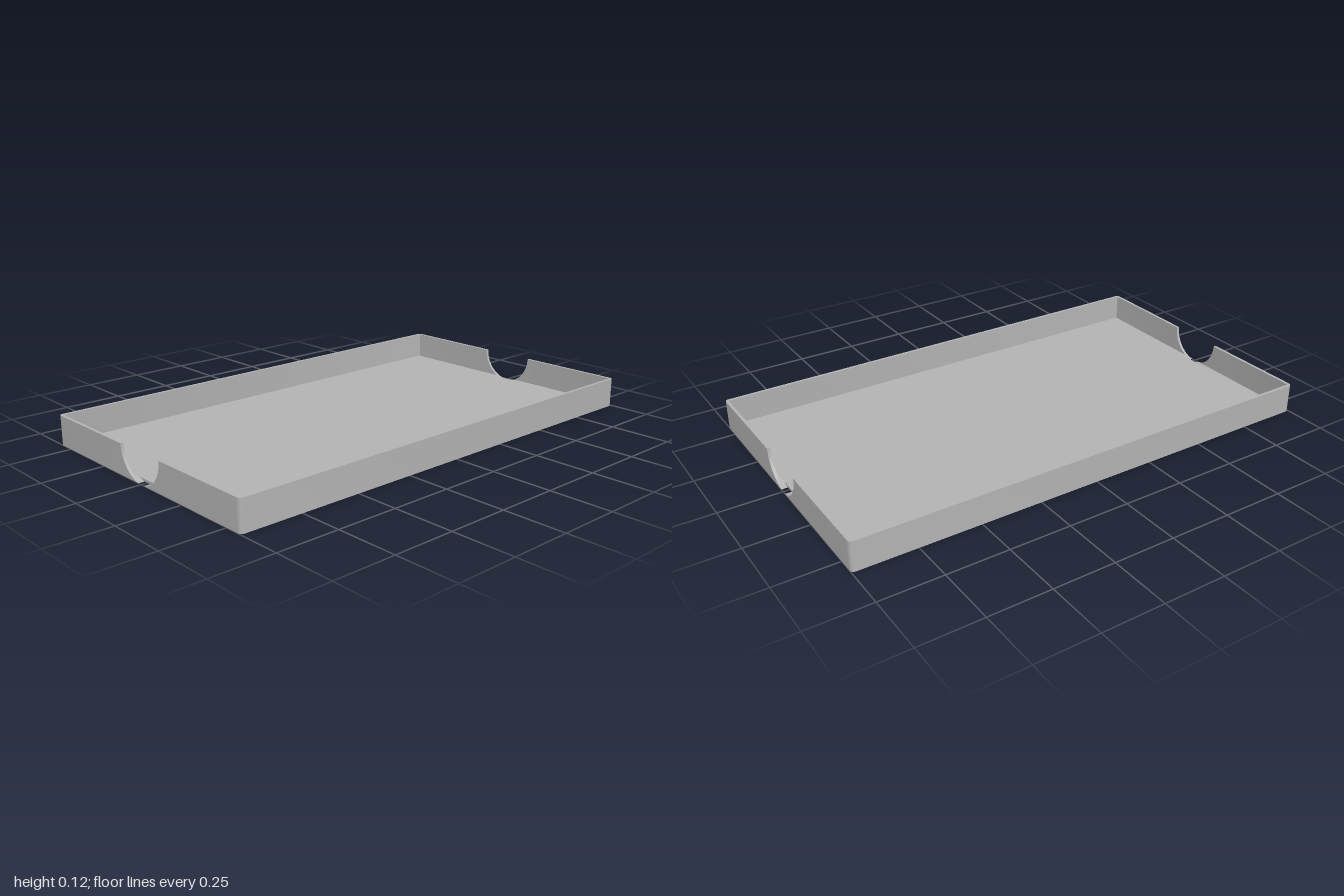
import * as THREE from 'three';
import { toCreasedNormals } from 'three/addons/utils/BufferGeometryUtils.js';

const W = 0.575, L = 1, H = 0.121;        // half width, half length, height
const WALL = 0.012, FLOOR = 0.01;         // thicknesses
const R = 0.1222;                         // finger notch radius, centred on the rim
const N = 0.13;                           // half width of the notched section
const LIP = 0.975;                        // how far the notch cuts into the floor

export function createModel() {
  const model = new THREE.Group();
  model.name = 'tray';
  const grey = new THREE.MeshStandardMaterial({ color: 0xb3b3b3 });
  grey.name = 'grey';

  const add = (name, geometry) => {
    const mesh = new THREE.Mesh(toCreasedNormals(geometry, 0.5), grey);
    mesh.name = name;
    model.add(mesh);
  };
  const extrude = (shape, depth) =>
    new THREE.ExtrudeGeometry(shape, { depth, bevelEnabled: false, curveSegments: 6 });

  // Half a notched section: everything outside the notch circle, up to a given height
  const notchProfile = (side, top) => {
    const start = -Math.asin((H - top) / R), end = -Math.asin(H / R);
    const points = [new THREE.Vector2(side * N, 0), new THREE.Vector2(side * N, top)];
    for (let i = 0; i <= 24; i++) {
      const a = start + (end - start) * i / 24;
      points.push(new THREE.Vector2(side * R * Math.cos(a), Math.max(0, H + R * Math.sin(a))));
    }
    return new THREE.Shape(points);
  };

  // Floor plate with room for the notched sections at both ends
  const w = W - WALL, l = L - WALL;
  const plan = new THREE.Shape([
    [-w, -l], [-N, -l], [-N, -LIP], [N, -LIP], [N, -l], [w, -l],
    [w, l], [N, l], [N, LIP], [-N, LIP], [-N, l], [-w, l],
  ].map(([x, y]) => new THREE.Vector2(x, y)));
  add('floor', extrude(plan, FLOOR).rotateX(-Math.PI / 2));

  // Side walls wrap around the rounded corners to the notched sections
  const ro = 0.015, ri = 0.004;
  const wall = new THREE.Shape();
  wall.moveTo(N, -L);
  wall.lineTo(W - ro, -L);
  wall.absarc(W - ro, -L + ro, ro, -Math.PI / 2, 0, false);
  wall.absarc(W - ro, L - ro, ro, 0, Math.PI / 2, false);
  wall.lineTo(N, L);
  wall.lineTo(N, l);
  wall.absarc(w - ri, l - ri, ri, Math.PI / 2, 0, true);
  wall.absarc(w - ri, -l + ri, ri, 0, -Math.PI / 2, true);
  wall.lineTo(N, -l);
  for (const [name, turn] of [['leftWall', 0], ['rightWall', Math.PI]]) {
    add(name, extrude(wall, H).rotateX(-Math.PI / 2).rotateY(turn));
  }

  // Finger notches through the end walls and the edge of the floor
  for (const [end, turn] of [['front', 0], ['back', Math.PI]]) {
    for (const side of [-1, 1]) {
      add(end + 'NotchWall', extrude(notchProfile(side, H), WALL).translate(0, 0, l).rotateY(turn));
      add(end + 'NotchFloor', extrude(notchProfile(side, FLOOR), l - LIP).translate(0, 0, LIP).rotateY(turn));
    }
  }
  return model;
}
